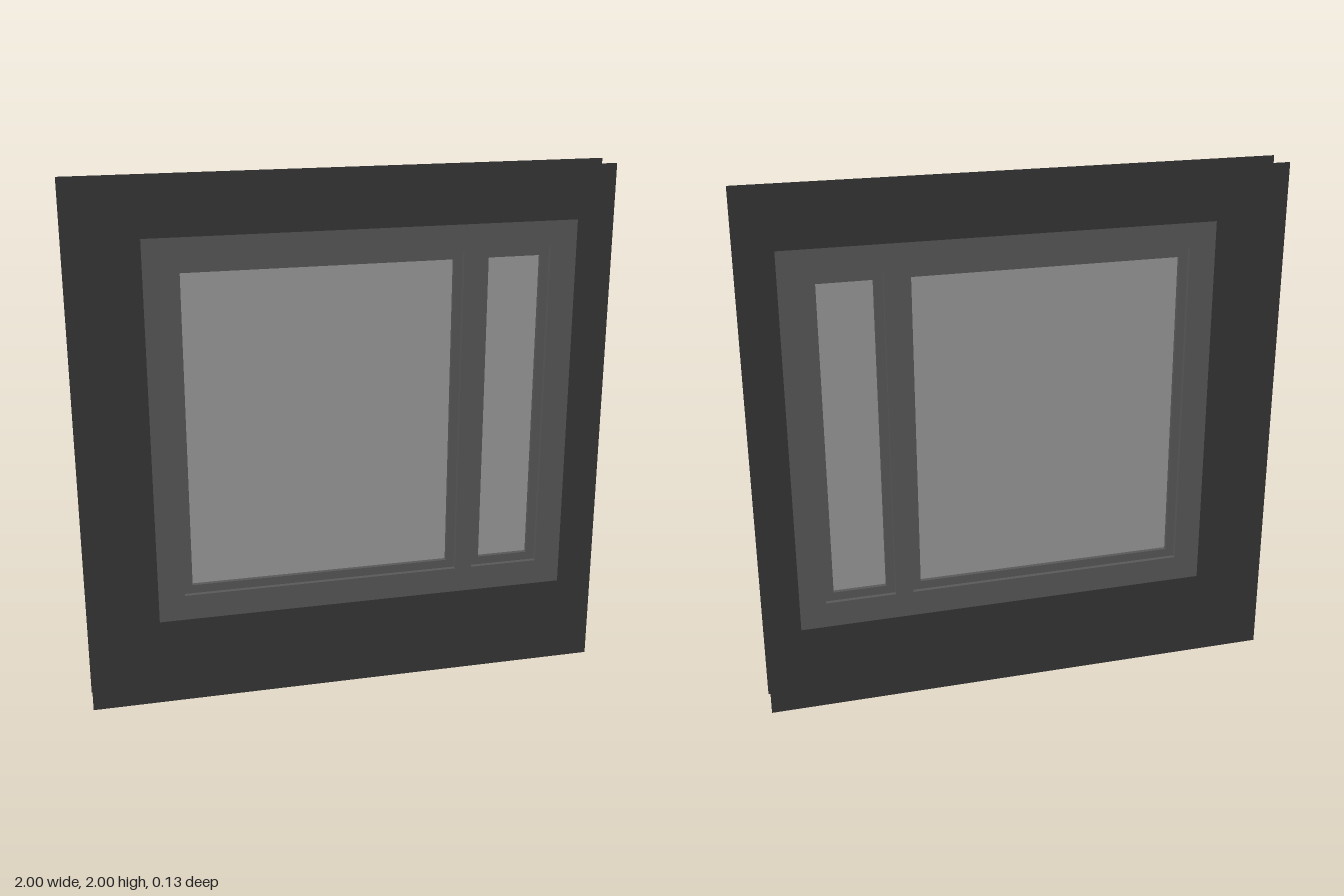
import * as THREE from 'three';

const wallMat = new THREE.MeshStandardMaterial({ name: 'wall dark grey', color: 0x363636, side: THREE.DoubleSide });
const frameMat = new THREE.MeshStandardMaterial({ name: 'frame grey', color: 0x585858 });
const glassMat = new THREE.MeshStandardMaterial({ name: 'pane light grey', color: 0x9a9a9a });

// Rectangles are [left, right, bottom, top]
const WALL = [-1, 1, 0, 2];
const WINDOW = [-0.733, 0.867, 0.333, 1.8];
const OPENINGS = [
  { name: 'large', rect: [-0.633, 0.433, 0.433, 1.7] },
  { name: 'narrow', rect: [0.5, 0.767, 0.433, 1.7] },
];
const SASH_WIDTH = 0.033;

function tracePath(path, [l, r, b, t]) {
  path.moveTo(l, b);
  path.lineTo(r, b);
  path.lineTo(r, t);
  path.lineTo(l, t);
  path.closePath();
  return path;
}

function rectShape(rect, holes = []) {
  const shape = tracePath(new THREE.Shape(), rect);
  shape.holes = holes.map((h) => tracePath(new THREE.Path(), h));
  return shape;
}

// Slab with holes, centred on z = 0
function slab(name, rect, holes, depth, material) {
  const geo = new THREE.ExtrudeGeometry(rectShape(rect, holes), { depth, bevelEnabled: false });
  geo.translate(0, 0, -depth / 2);
  const mesh = new THREE.Mesh(geo, material);
  mesh.name = name;
  return mesh;
}

export function createModel() {
  const model = new THREE.Group();
  model.name = 'windowWall';

  // Two thin wall skins, each cut out for the window
  for (const side of [1, -1]) {
    const geo = new THREE.ShapeGeometry(rectShape(WALL, [WINDOW]));
    const skin = new THREE.Mesh(geo, wallMat);
    skin.name = side > 0 ? 'frontWallSkin' : 'backWallSkin';
    if (side < 0) {
      geo.scale(-1, 1, 1); // cancels the mirroring of the half turn
      geo.index.array.reverse();
      skin.rotation.y = Math.PI;
    }
    skin.position.z = side * 0.0667;
    model.add(skin);
  }

  // Outer frame with the mullion between the openings
  model.add(slab('windowFrame', WINDOW, OPENINGS.map((o) => o.rect), 0.1, frameMat));

  // A recessed sash and a pane in each opening
  for (const { name, rect } of OPENINGS) {
    const [l, r, b, t] = rect;
    const pane = [l + SASH_WIDTH, r - SASH_WIDTH, b + SASH_WIDTH, t - SASH_WIDTH];
    model.add(slab(name + 'Sash', rect, [pane], 0.066, frameMat));
    model.add(slab(name + 'Pane', pane, [], 0.033, glassMat));
  }
  return model;
}
